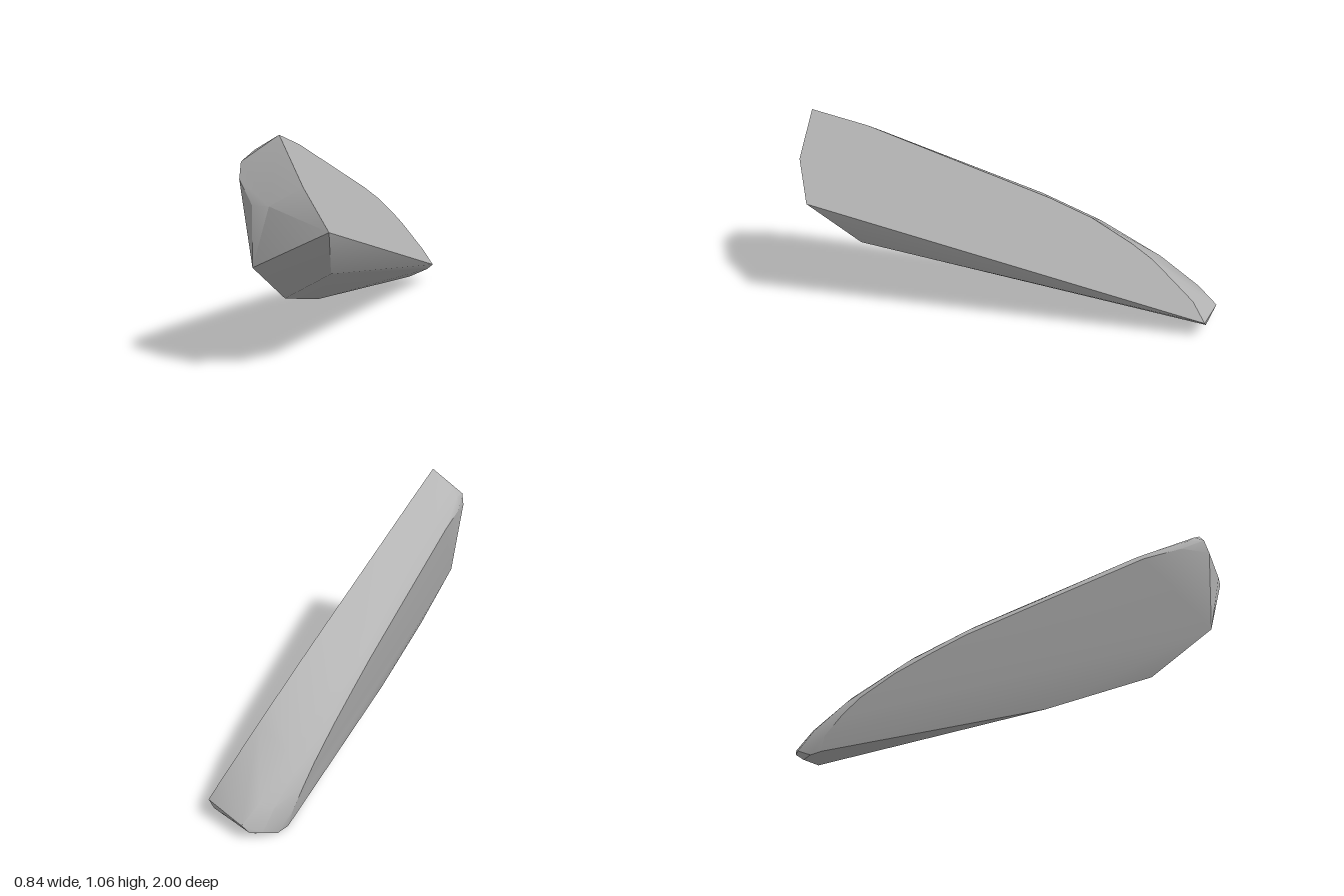
import * as THREE from 'three';
import { ConvexGeometry } from 'three/addons/geometries/ConvexGeometry.js';
import { toCreasedNormals } from 'three/addons/utils/BufferGeometryUtils.js';

const V = (x, y, z) => new THREE.Vector3(x, y, z);

// The two broad faces are flat planes leaning with the slab: x follows from y and z
const rightFace = (y, z) => V(0.418 - 0.592 * y + 0.4685 * z, y, z);
const leftFace = (y, z) => V(-0.116 - 0.224 * y + 0.371 * z, y, z);

// Outline of the right broad face, [y, z] from the front peak to the low back tip
const rightRim = [
  [1.065, 0.9], [0.99, 0.65], [0.815, 0.2], [0.66, -0.2], [0.57, -0.4],
  [0.453, -0.6], [0.385, -0.7], [0.3, -0.8], [0.195, -0.92], [0.1, -0.99],
  [0.67, 0.85], [0.86, 0.915],
];

// Outline of the left broad face, [y, z]
const leftRim = [
  [0.9, 0.87], [0.86, 0.7], [0.66, 0.2], [0.53, -0.12], [0.45, -0.28],
  [0.36, -0.45], [0.25, -0.615], [0.17, -0.7], [0.08, -0.78], [0.01, -0.8],
  [0.17, 0.2], [0.3, 0.67],
];

// Rounded shoulder between the top strip and the left face
const shoulder = [
  V(0.09, 0.995, 0.91), V(0.04, 0.955, 0.9), V(0, 0.905, 0.65), V(-0.12, 0.725, 0.2),
  V(-0.17, 0.69, 0.2), V(-0.2, 0.605, -0.12), V(-0.25, 0.57, -0.12),
  V(-0.28, 0.465, -0.4), V(-0.325, 0.43, -0.4), V(-0.33, 0.295, -0.7),
  V(-0.38, 0.25, -0.7), V(-0.345, 0.155, -0.9), V(-0.395, 0.13, -0.86),
];

// Blunt front end
const nose = [
  V(0.06, 0.95, 0.965), V(0.065, 0.88, 0.985), V(0.14, 0.78, 1), V(0.215, 0.78, 0.985),
  V(0.105, 0.503, 0.957),
];

// Narrow underside and rounded back tip
const underside = [
  V(0.29, 0.435, 0.64), V(-0.225, 0.025, -0.94), V(-0.14, 0.07, -0.99),
  V(-0.33, 0.075, -1), V(-0.36, 0.04, -0.98), V(-0.4, 0.04, -0.94),
  V(-0.412, 0.003, -0.86), V(-0.35, 0.012, -0.94),
];

export function createModel() {
  const stone = new THREE.MeshStandardMaterial({ color: 0xb4b4b4 });
  stone.name = 'stone grey';

  const points = [
    ...rightRim.map(([y, z]) => rightFace(y, z)),
    ...leftRim.map(([y, z]) => leftFace(y, z)),
    ...shoulder, ...nose, ...underside,
  ];
  const slab = new THREE.Mesh(toCreasedNormals(new ConvexGeometry(points), 0.5), stone);
  slab.name = 'stoneSlab';

  const group = new THREE.Group();
  group.name = 'stoneShard';
  group.add(slab);
  return group;
}
